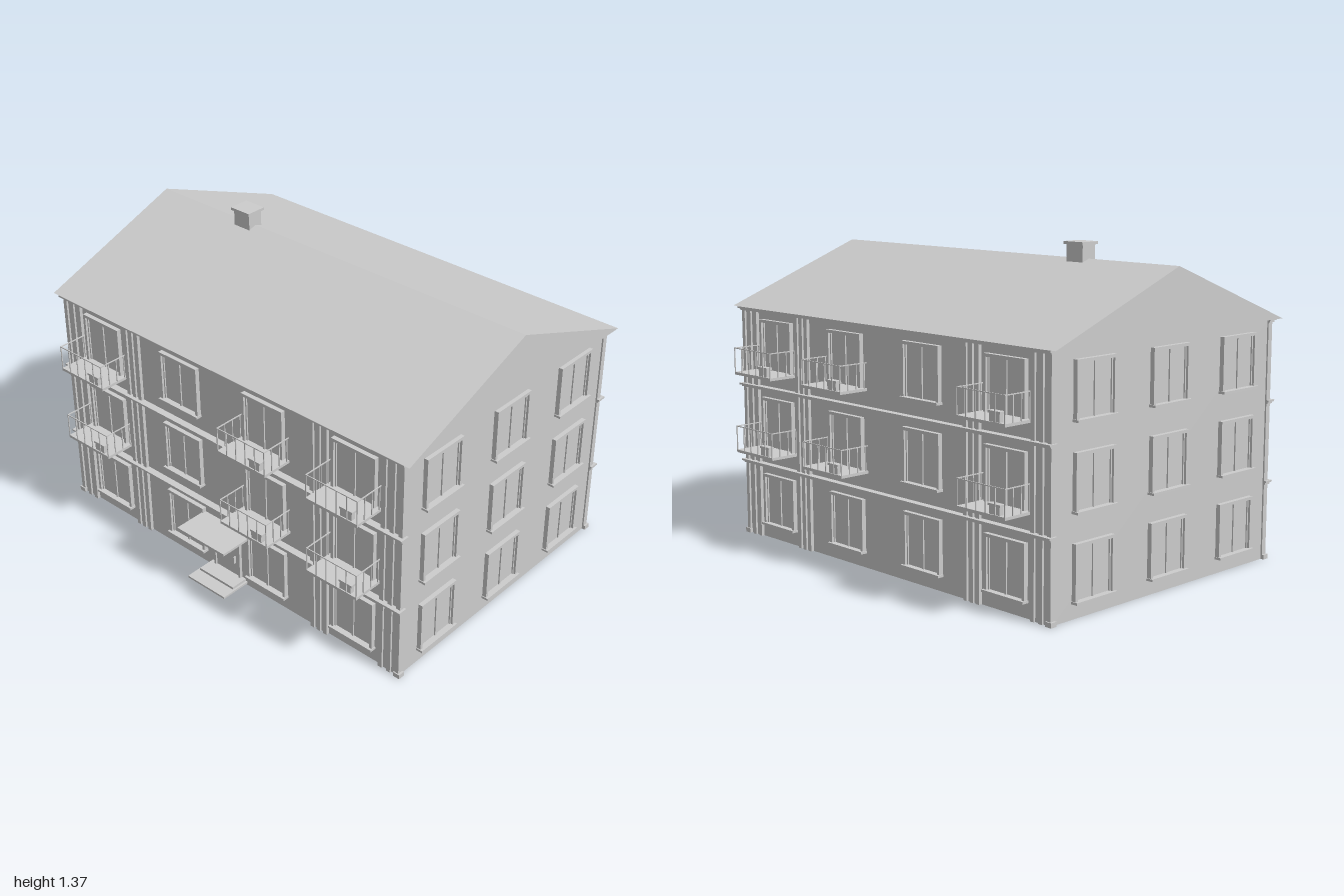
import * as THREE from 'three';

const stone = new THREE.MeshStandardMaterial({ color: 0xcccccc });
stone.name = 'light grey';

// Box given by its lower and upper corners
function box(parent, name, x0, x1, y0, y1, z0, z1) {
  const mesh = new THREE.Mesh(new THREE.BoxGeometry(x1 - x0, y1 - y0, z1 - z0), stone);
  mesh.name = name;
  mesh.position.set((x0 + x1) / 2, (y0 + y1) / 2, (z0 + z1) / 2);
  parent.add(mesh);
  return mesh;
}

function group(parent, name) {
  const g = new THREE.Group();
  g.name = name;
  parent.add(g);
  return g;
}

const HALF_X = 0.955, HALF_Z = 0.654, EAVE = 1.043;
const FLOORS = [0.063, 0.412, 0.761];
const COLUMNS = [-0.719, -0.243, 0.237, 0.715];

// Window in local space: wall at z = 0, sill bottom at y = 0
function makeWindow(parent, x, y, z, turn = 0) {
  const g = group(parent, 'window');
  g.position.set(x, y, z);
  g.rotation.y = turn;
  const w = 0.11, h = 0.234, t = 0.013;
  box(g, 'windowGlass', -w + t, w - t, 0.01, h - t, -0.01, 0.004);
  for (const s of [-1, 1]) {
    const inner = s * (w - t), outer = s * w;
    box(g, 'windowJamb', Math.min(inner, outer), Math.max(inner, outer), 0.01, h, -0.01, 0.02);
    const a = s * (w - t), b = s * (w - t - 0.006);
    box(g, 'windowSash', Math.min(a, b), Math.max(a, b), 0.01, h - t, 0, 0.01);
  }
  box(g, 'windowHead', -w + t, w - t, h - t, h, -0.01, 0.02);
  box(g, 'windowMullion', -0.004, 0.004, 0.01, h - t, 0, 0.01);
  box(g, 'windowSill', -w - 0.004, w + 0.004, 0, 0.01, -0.01, 0.031);
}

// Balcony with slab, railing and planter
function makeBalcony(parent, x, y) {
  const g = group(parent, 'balcony');
  g.position.set(x, y, HALF_Z);
  const w = 0.131, d = 0.142, r = 0.002, top = 0.12;
  box(g, 'balconySlab', -w, w, 0, 0.012, -0.01, d);
  const post = (px, pz) => box(g, 'railingPost', px - r, px + r, 0.012, top, pz - r, pz + r);
  for (let i = 0; i <= 5; i++) post((i / 5 * 2 - 1) * (w - r), d - r);
  for (const s of [-1, 1]) {
    const px = s * (w - r);
    for (let i = 0; i < 3; i++) post(px, 0.012 + i * 0.043);
    box(g, 'sideHandrail', px - r, px + r, top - 0.004, top, 0, d);
  }
  box(g, 'frontHandrail', -w, w, top - 0.004, top, d - 2 * r, d);
  box(g, 'planterBody', 0.042, 0.098, 0.012, 0.044, d - 0.026, d - 0.005);
  box(g, 'planterRim', 0.037, 0.103, 0.044, 0.053, d - 0.03, d - 0.003);
}

// Long facade, facing +z
function makeFacade(parent, name, mirror) {
  const g = group(parent, name);
  // Bands between the floors
  for (const y of [0.329, 0.679, 1.026]) {
    box(g, 'floorBand', -0.967, 0.967, y, y + 0.008, HALF_Z - 0.01, HALF_Z + 0.022);
    box(g, 'floorBandCap', -0.972, 0.972, y + 0.008, y + 0.016, HALF_Z - 0.01, HALF_Z + 0.032);
  }
  // Ribbed pilasters
  for (const s of [-1, 1]) {
    for (const [inner, outer] of [[0.855, 0.962], [0.488, 0.578]]) {
      const a = Math.min(s * inner, s * outer), b = Math.max(s * inner, s * outer);
      box(g, 'pilasterBack', a, b, 0, EAVE, HALF_Z - 0.01, HALF_Z + 0.006);
      const step = (b - a - 0.02) / 2;
      for (let i = 0; i < 3; i++)
        box(g, 'pilasterRib', a + i * step, a + i * step + 0.02, 0, EAVE, HALF_Z, HALF_Z + 0.015);
    }
    const edge = s * 0.955;
    box(g, 'cornerFoot', edge - 0.016, edge + 0.016, 0, 0.02, HALF_Z - 0.01, HALF_Z + 0.02);
  }
  // Windows and balconies
  COLUMNS.forEach((cx, c) => {
    const x = cx * mirror;
    FLOORS.forEach((y, f) => {
      makeWindow(g, x, y, HALF_Z);
      if (f > 0 && c !== 1) makeBalcony(g, x, y - 0.002);
    });
  });
  return g;
}

// Door, steps and canopy
function makeEntrance(parent) {
  const g = group(parent, 'entrance');
  const z = HALF_Z;
  box(g, 'doorLeaf', -0.07, 0.067, 0.02, 0.23, z - 0.01, z + 0.006);
  box(g, 'doorJambRight', -0.08, -0.07, 0.02, 0.24, z - 0.01, z + 0.014);
  box(g, 'doorJambLeft', 0.067, 0.077, 0.02, 0.24, z - 0.01, z + 0.014);
  box(g, 'doorHead', -0.07, 0.067, 0.23, 0.24, z - 0.01, z + 0.014);
  box(g, 'doorHandle', 0.042, 0.047, 0.092, 0.126, z, z + 0.018);
  box(g, 'upperStep', -0.103, 0.098, 0.016, 0.028, z - 0.01, z + 0.08);
  box(g, 'lowerStep', -0.113, 0.107, 0.008, 0.017, z - 0.01, z + 0.142);
  box(g, 'canopy', -0.14, 0.137, 0.264, 0.275, z - 0.01, z + 0.817 - 0.654);
}

export function createModel() {
  const model = new THREE.Group();
  model.name = 'apartmentBuilding';
  const house = group(model, 'house');
  house.position.z = -0.011;

  box(house, 'walls', -HALF_X, HALF_X, 0, EAVE, -HALF_Z, HALF_Z);

  // Gabled roof
  const gable = new THREE.Shape([
    new THREE.Vector2(-0.688, EAVE), new THREE.Vector2(0.688, EAVE), new THREE.Vector2(0, 1.305),
  ]);
  const roofGeometry = new THREE.ExtrudeGeometry(gable, { depth: 2, bevelEnabled: false });
  roofGeometry.translate(0, 0, -1).rotateY(Math.PI / 2);
  const roof = new THREE.Mesh(roofGeometry, stone);
  roof.name = 'roof';
  house.add(roof);

  // Chimney
  box(house, 'chimney', -0.527, -0.437, 1.25, 1.362, -0.037, 0.037);
  box(house, 'chimneyCap', -0.535, -0.429, 1.362, 1.374, -0.047, 0.047);

  const front = makeFacade(house, 'frontFacade', 1);
  makeEntrance(front);
  makeFacade(house, 'backFacade', -1).rotation.y = Math.PI;

  // Windows on the gable ends
  for (const s of [-1, 1]) {
    const side = group(house, s > 0 ? 'leftWindows' : 'rightWindows');
    for (const z of [-0.436, 0, 0.436])
      for (const y of FLOORS) makeWindow(side, s * HALF_X, y, z, s * Math.PI / 2);
  }
  return model;
}
